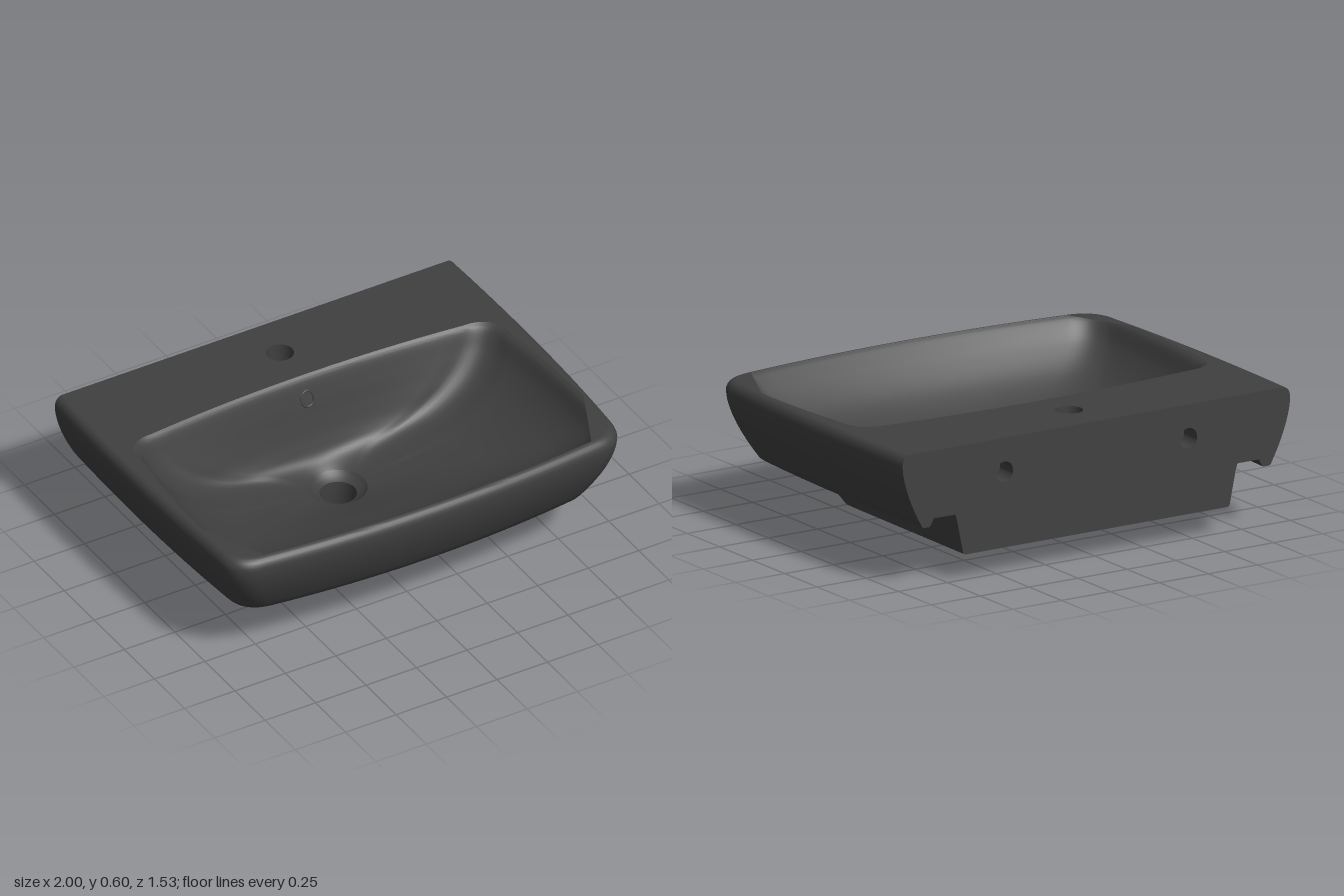
import * as THREE from 'three';
import { toCreasedNormals } from 'three/addons/utils/BufferGeometryUtils.js';

const DRAIN_Z = -0.07;
const V = (x, y, z) => new THREE.Vector3(x, y, z);

// Half of a bowed, rounded outline: front centre -> side -> back corner (-> back centre when closed)
function halfOutline(o) {
  const { y, wf, wb, front, back, bow, r, side, rb = 0, backBow = 0 } = o;
  const fz = front - bow, ex = wf - r, bz = back + backBow;
  const quad = (a, b, c, n) =>
    new THREE.QuadraticBezierCurve3(V(a[0], y, a[1]), V(b[0], y, b[1]), V(c[0], y, c[1])).getPoints(n).slice(0, n);
  const pts = [
    ...quad([0, front], [ex / 2, front], [ex, fz], 10),
    ...quad([ex, fz], [wf - 0.01, fz - (2 * bow * r) / ex], [wf, fz - r], 10),
    ...quad([wf, fz - r], [(wf + wb) / 2 + side, (fz + back) / 2], [wb, bz + rb], 14),
  ];
  if (!rb) return [...pts, V(wb, y, back)];
  return [
    ...pts,
    ...quad([wb, bz + rb], [wb, bz], [wb - rb, bz], 10),
    ...quad([wb - rb, bz], [(wb - rb) / 2, back], [0, back], 10),
    V(0, y, back),
  ];
}

const flip = (p) => V(-p.x, p.y, p.z);
const openLoop = (o) => {
  const h = halfOutline(o);
  return [...h.slice(1).reverse().map(flip), ...h];
};
const closedLoop = (o) => {
  const h = halfOutline(o);
  return [...h, ...h.slice(1, -1).reverse().map(flip)];
};

// Skin between successive loops
function loft(loops, closed, crease) {
  const n = loops[0].length, pos = [], idx = [];
  loops.forEach((l) => l.forEach((p) => pos.push(p.x, p.y, p.z)));
  for (let j = 0; j < loops.length - 1; j++) {
    for (let i = 0; i < (closed ? n : n - 1); i++) {
      const k = (i + 1) % n, a = j * n + i, b = j * n + k;
      idx.push(a, b, a + n, b, b + n, a + n);
    }
  }
  const g = new THREE.BufferGeometry();
  g.setAttribute('position', new THREE.Float32BufferAttribute(pos, 3));
  g.setIndex(idx);
  return toCreasedNormals(g, crease);
}

// Smooth the skin by running a curve down through matching loop points
function refine(loops, steps) {
  const curves = loops[0].map((_, i) => new THREE.CatmullRomCurve3(loops.map((l) => l[i])));
  return Array.from({ length: steps + 1 }, (_, s) => curves.map((c) => c.getPoint(s / steps)));
}

const circlePath = (x, y, r) => new THREE.Path().absarc(x, y, r, 0, Math.PI * 2, true);

export function createModel() {
  const group = new THREE.Group();
  const ceramic = new THREE.MeshStandardMaterial({ color: 0x404040, side: THREE.DoubleSide });
  ceramic.name = 'dark grey ceramic';
  const add = (name, geo, x = 0, y = 0, z = 0) => {
    const m = new THREE.Mesh(geo, ceramic);
    m.name = name;
    m.position.set(x, y, z);
    group.add(m);
    return m;
  };

  // Outer body: lower box, recess, lip, curved wall and rounded top edge
  const BACK = -0.765;
  const box = (y, w, front, r) =>
    openLoop({ y, wf: w - 0.01, wb: w, front, back: BACK, bow: 0.04, r, side: 0 });
  const wall = (y, d) =>
    openLoop({ y, wf: 0.972 - d, wb: 0.99 - d, front: 0.765 - d, back: BACK, bow: 0.05, r: 0.13, side: 0.036 });
  const body = [
    box(0.115, 0.67, 0.26, 0.1), box(0.121, 0.68, 0.275, 0.1), box(0.265, 0.71, 0.5, 0.1), box(0.3, 0.72, 0.54, 0.1),
    wall(0.3, 0.16), wall(0.272, 0.145), wall(0.265, 0.138), wall(0.265, 0.106), wall(0.27, 0.1),
  ];
  for (let i = 1; i <= 8; i++) body.push(wall(0.27 + 0.035 * i, 0.1 * Math.pow(1 - i / 8, 1.6)));
  for (let i = 1; i <= 6; i++) {
    const a = (i / 6) * Math.PI / 2;
    body.push(wall(0.55 + 0.05 * Math.sin(a), 0.035 * (1 - Math.cos(a))));
  }
  add('outerBody', loft(body, false, 0.6));

  // Flat back with two mounting holes
  const edge = body.map((l) => l[l.length - 1]);
  const backShape = new THREE.Shape([
    ...edge.map((p) => new THREE.Vector2(p.x, p.y)),
    ...edge.slice().reverse().map((p) => new THREE.Vector2(-p.x, p.y)),
  ]);
  [-0.47, 0.47].forEach((x) => backShape.holes.push(circlePath(x, 0.45, 0.045)));
  add('backWall', new THREE.ShapeGeometry(backShape, 24).rotateY(Math.PI), 0, 0, BACK);

  // Bowl, from the rim opening down to the drain
  const bowlLoop = (y, wf, wb, front, back, r, bow, backBow) =>
    closedLoop({ y, wf, wb, front, back, r, rb: r * 1.1, bow, backBow, side: 0.025 });
  const opening = bowlLoop(0.6, 0.945, 0.915, 0.728, -0.365, 0.13, 0.05, 0.04);
  const low = bowlLoop(0.235, 0.38, 0.38, 0.18, -0.245, 0.13, 0.04, 0.03);
  const ring = (r, y) => low.map((p) => {
    const a = Math.atan2(p.x, p.z - DRAIN_Z);
    return V(r * Math.sin(a), y, DRAIN_Z + r * Math.cos(a));
  });
  const bowl = refine([
    opening,
    bowlLoop(0.585, 0.928, 0.895, 0.712, -0.352, 0.13, 0.05, 0.04),
    bowlLoop(0.5, 0.885, 0.85, 0.65, -0.325, 0.14, 0.05, 0.04),
    bowlLoop(0.4, 0.79, 0.76, 0.55, -0.3, 0.15, 0.05, 0.04),
    bowlLoop(0.3, 0.61, 0.6, 0.38, -0.272, 0.15, 0.05, 0.03),
    low,
    ring(0.125, 0.195),
  ], 36);
  add('bowl', loft(bowl, true, 0.9));

  // Drain seat and hollow outlet pipe
  add('drainOutlet', loft([
    ring(0.125, 0.195), ring(0.11, 0.178), ring(0.08, 0.165), ring(0.077, 0.04), ring(0.09, 0),
    ring(0.11, 0), ring(0.115, 0.006), ring(0.115, 0.12),
  ], true, 0.6));

  // Flat deck around the opening, with the tap hole
  const top = body[body.length - 1];
  const deck = new THREE.Shape(top.map((p) => new THREE.Vector2(p.x, -p.z)));
  deck.holes.push(new THREE.Path(opening.map((p) => new THREE.Vector2(p.x, -p.z))), circlePath(0, 0.555, 0.06));
  add('deck', new THREE.ShapeGeometry(deck, 24).rotateX(-Math.PI / 2), 0, 0.6, 0);

  // Underside panel around the outlet
  const under = new THREE.Shape(body[0].map((p) => new THREE.Vector2(p.x, p.z)));
  under.holes.push(circlePath(0, DRAIN_Z, 0.11));
  add('underside', new THREE.ShapeGeometry(under, 24).rotateX(Math.PI / 2), 0, 0.115, 0);

  // Blind holes for the tap and the wall fixings
  const blindHole = (r, depth) => toCreasedNormals(new THREE.LatheGeometry(
    [[0, -depth], [r, -depth], [r, 0]].map(([x, y]) => new THREE.Vector2(x, y)), 32), 0.6);
  add('tapHole', blindHole(0.06, 0.12), 0, 0.6, -0.555);
  [-0.47, 0.47].forEach((x) => {
    add('mountingHole', blindHole(0.045, 0.1), x, 0.45, BACK).rotation.x = -Math.PI / 2;
  });

  // Overflow opening ring on the back wall of the bowl
  const overflow = add('overflowRing', new THREE.TorusGeometry(0.03, 0.005, 8, 28), 0, 0.5, -0.325);
  overflow.rotation.x = -0.3;
  overflow.scale.y = 1.2;

  // Overflow channel bulge running behind the outlet pipe
  const bulge = new THREE.Shape();
  bulge.moveTo(0.165, 0.12);
  bulge.lineTo(0.165, 0.025);
  bulge.quadraticCurveTo(0.18, 0.04, 0.2, 0.042);
  bulge.bezierCurveTo(0.26, 0.05, 0.31, 0.07, 0.34, 0.12);
  const bulgeGeo = new THREE.ExtrudeGeometry(bulge, {
    depth: 0.11, curveSegments: 10, bevelEnabled: true, bevelSize: 0.01, bevelThickness: 0.02, bevelSegments: 4,
  });
  bulgeGeo.translate(0, 0, -0.055).rotateY(Math.PI / 2);
  add('overflowChannel', toCreasedNormals(bulgeGeo, 0.7));

  return group;
}
